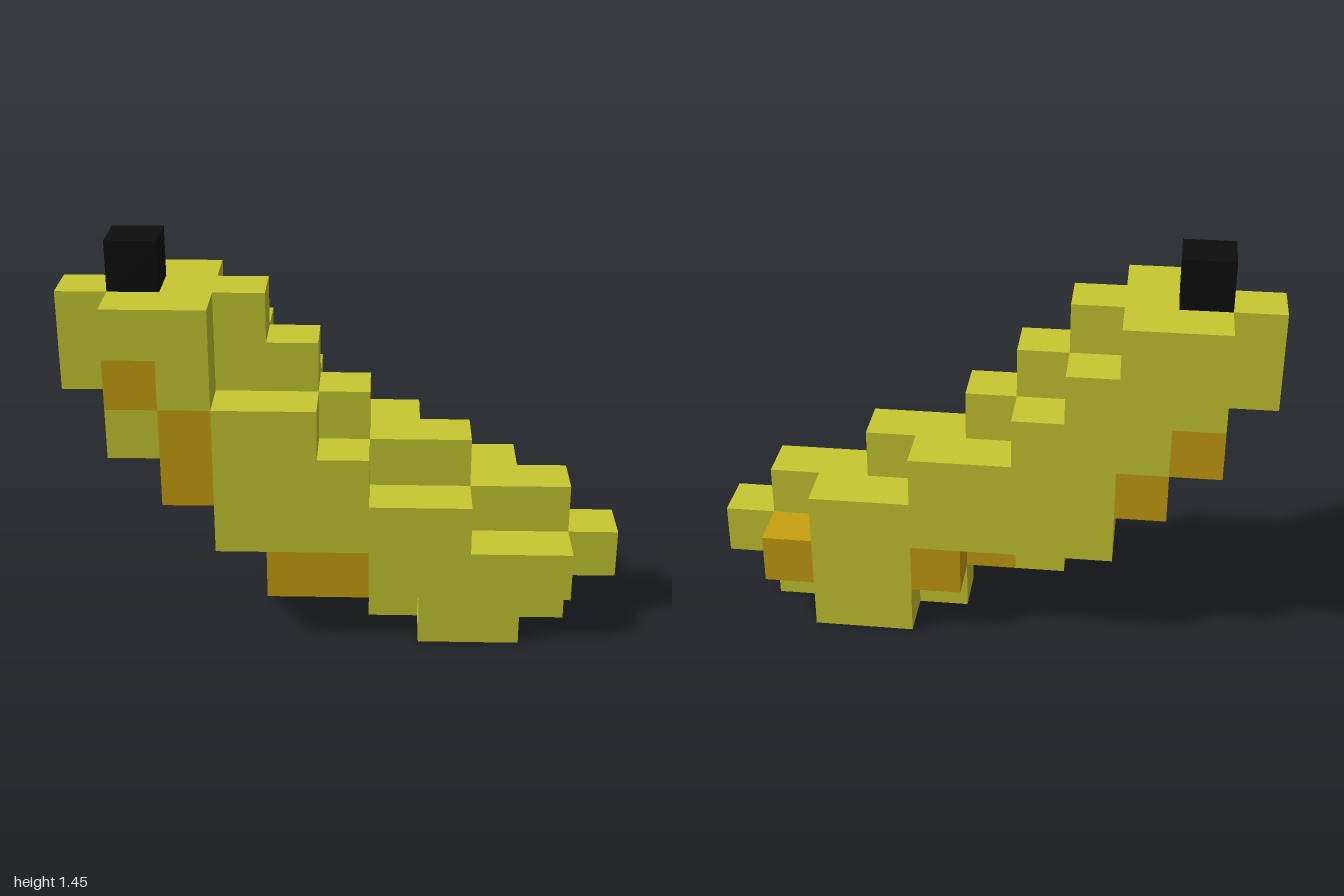
import * as THREE from 'three';
import { mergeGeometries } from 'three/addons/utils/BufferGeometryUtils.js';

const S = 2 / 11; // edge of one cube

// For each layer: [column, lowest row, highest row] of every stack of cubes
const LAYERS = [
  // back
  [[1, 4, 6], [2, 3, 6], [3, 2, 5], [4, 2, 4], [5, 2, 3], [6, 1, 3], [7, 0, 2], [8, 0, 2], [9, 1, 1]],
  // middle
  [[0, 5, 6], [1, 4, 6], [2, 3, 6], [3, 2, 6], [4, 1, 5], [5, 1, 4], [6, 0, 3], [7, 0, 3], [8, 0, 2], [9, 0, 2], [10, 1, 1]],
  // front
  [[1, 4, 6], [2, 3, 6], [3, 2, 4], [4, 1, 4], [5, 1, 3], [6, 1, 2], [7, 0, 2], [8, 0, 1], [9, 1, 1]],
];

// Ripe spots as column,row,layer
const SPOTS = new Set([
  '1,5,2', '2,4,2', '2,3,2', '4,1,2', '5,1,2', // front
  '5,1,1', // middle
  '1,4,0', '2,3,0', '6,1,0', '9,1,0', // back
]);

// Outward directions with the turn that points a plane that way
const H = Math.PI / 2;
const SIDES = [
  [1, 0, 0, 0, H], [-1, 0, 0, 0, -H],
  [0, 1, 0, -H, 0], [0, -1, 0, H, 0],
  [0, 0, 1, 0, 0], [0, 0, -1, 0, Math.PI],
];

export function createModel() {
  const group = new THREE.Group();
  const material = (name, color) => new THREE.MeshStandardMaterial({ name, color });
  const yellow = material('yellow peel', 0xc8c832);
  const amber = material('amber spot', 0xc8a00f);
  const black = material('black stem', 0x0d0d0d);

  // Fill the cells
  const cells = new Map();
  const put = (x, y, z, part) => cells.set(`${x},${y},${z}`, { x, y, z, part });
  LAYERS.forEach((stacks, z) => {
    for (const [x, low, high] of stacks) {
      for (let y = low; y <= high; y++) {
        put(x, y, z, SPOTS.has(`${x},${y},${z}`) ? 'ripeSpots' : 'peel');
      }
    }
  });
  put(1, 7, 1, 'stem');

  // Keep only the exposed faces of each cube
  const faces = { peel: [], ripeSpots: [], stem: [] };
  for (const { x, y, z, part } of cells.values()) {
    for (const [dx, dy, dz, rx, ry] of SIDES) {
      if (cells.has(`${x + dx},${y + dy},${z + dz}`)) continue;
      const face = new THREE.PlaneGeometry(S, S);
      face.rotateX(rx).rotateY(ry);
      face.translate((x - 5 + dx / 2) * S, (y + 0.5 + dy / 2) * S, (z - 1 + dz / 2) * S);
      faces[part].push(face);
    }
  }

  // One mesh per coloured part
  const colours = { peel: yellow, ripeSpots: amber, stem: black };
  for (const part of Object.keys(faces)) {
    const mesh = new THREE.Mesh(mergeGeometries(faces[part]), colours[part]);
    mesh.name = part;
    group.add(mesh);
  }
  group.name = 'banana';
  return group;
}
